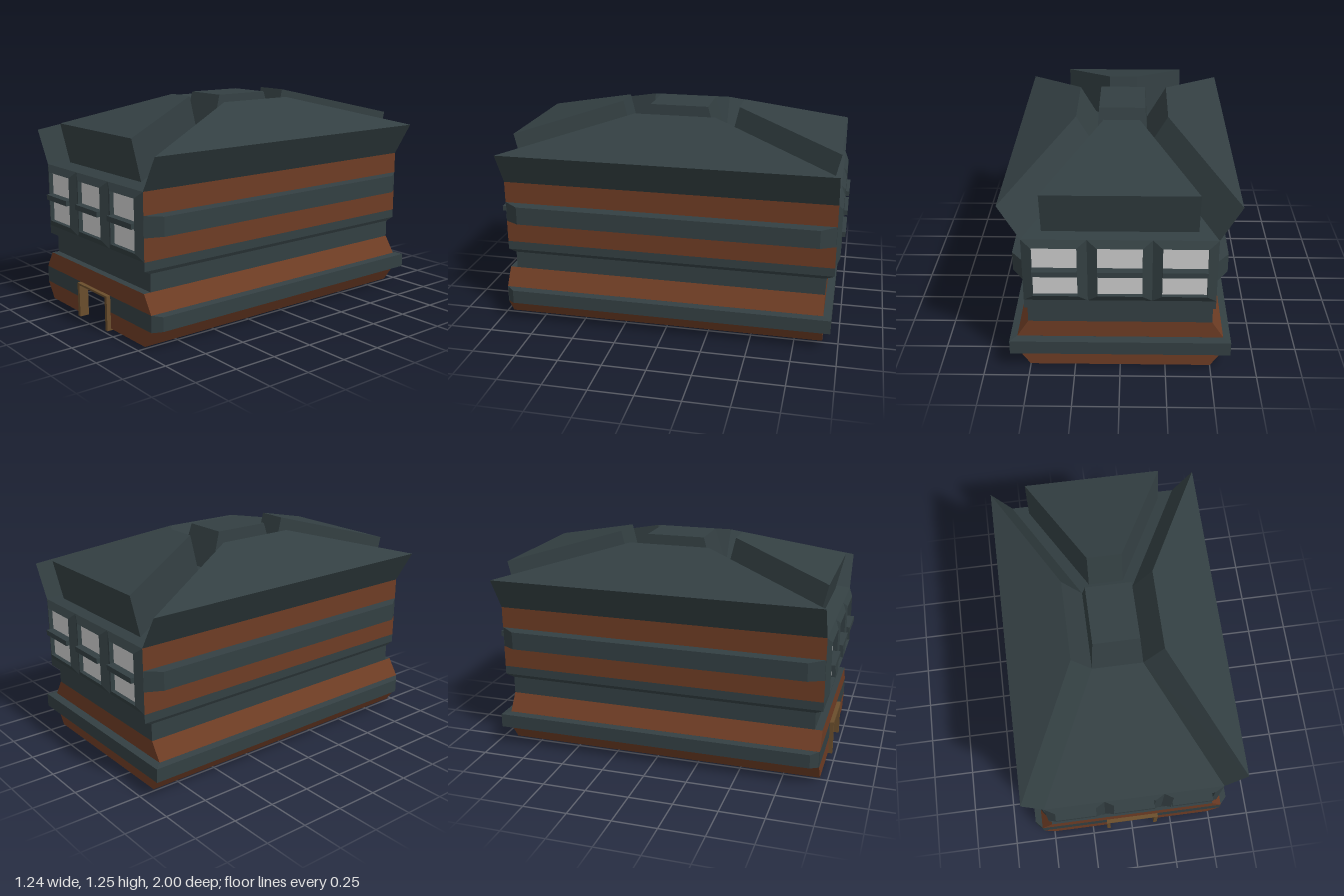
import * as THREE from 'three';

const material = (color) => new THREE.MeshStandardMaterial({ color, flatShading: true, side: THREE.DoubleSide });
const slate = material(0x333f42);
const brick = material(0x6d3c24);
const timber = material(0x6a4e2c);
const glass = material(0xcccccc);

// Mesh from four-cornered faces
function quadMesh(name, mat, quads) {
  const pos = [];
  for (const [a, b, c, d] of quads) pos.push(...a, ...b, ...c, ...a, ...c, ...d);
  const geo = new THREE.BufferGeometry();
  geo.setAttribute('position', new THREE.Float32BufferAttribute(pos, 3));
  geo.computeVertexNormals();
  const mesh = new THREE.Mesh(geo, mat);
  mesh.name = name;
  return mesh;
}

// Closed convex solid between two quads, every face turned outward
function solid(name, mat, a, b) {
  const quads = [a, b];
  for (let i = 0; i < 4; i++) {
    const j = (i + 1) % 4;
    quads.push([a[i], a[j], b[j], b[i]]);
  }
  const mid = (pts) => pts.reduce((s, p) => s.add(new THREE.Vector3(...p)), new THREE.Vector3()).divideScalar(pts.length);
  const centre = mid([...a, ...b]);
  const outward = quads.map((q) => {
    const [p, r, s] = q.map((v) => new THREE.Vector3(...v));
    const n = r.sub(p).cross(s.sub(p));
    return n.dot(mid(q).sub(centre)) < 0 ? [...q].reverse() : q;
  });
  return quadMesh(name, mat, outward);
}

const box = (name, mat, x0, x1, y0, y1, z0, z1) => {
  const mesh = new THREE.Mesh(new THREE.BoxGeometry(x1 - x0, y1 - y0, z1 - z0), mat);
  mesh.position.set((x0 + x1) / 2, (y0 + y1) / 2, (z0 + z1) / 2);
  mesh.name = name;
  return mesh;
};

// Rectangle in the xy plane, counter-clockwise from the front
const rectXY = (x0, x1, y0, y1, z) => [[x0, y0, z], [x1, y0, z], [x1, y1, z], [x0, y1, z]];
// Rectangle in the zy plane
const rectZY = (x, y0, y1, z0, z1) => [[x, y0, z0], [x, y0, z1], [x, y1, z1], [x, y1, z0]];
// Strips joining two matching outlines
const strips = (a, b) => a.map((p, i) => {
  const j = (i + 1) % a.length;
  return [p, a[j], b[j], b[i]];
});

// Window bay: bevelled frame, inset glass and a crossbar
function windowBay(x) {
  const bay = new THREE.Group();
  bay.name = 'window';
  const outer = rectXY(x - 0.17, x + 0.17, 0.47, 0.84, 0.957);
  const inner = rectXY(x - 0.118, x + 0.118, 0.51, 0.8, 0.98);
  const back = rectXY(x - 0.118, x + 0.118, 0.51, 0.8, 0.955);
  bay.add(quadMesh('windowFrame', slate, [...strips(outer, inner), ...strips(inner, back)]));
  bay.add(quadMesh('windowPane', glass, [back]));
  bay.add(box('windowBar', slate, x - 0.118, x + 0.118, 0.64, 0.67, 0.95, 1));
  return bay;
}

export function createModel() {
  const house = new THREE.Group();
  house.name = 'house';

  // Wall rings: height, half width, front z, back z
  const ring = (y, w, f, b) => [[-w, y, f], [w, y, f], [w, y, b], [-w, y, b]];
  const r = [
    ring(0.01, 0.5, 0.957, -0.91), ring(0.105, 0.565, 0.957, -0.91),
    ring(0.2, 0.565, 0.957, -0.91), ring(0.3, 0.5, 0.957, -0.91),
    ring(0.3, 0.5, 0.915, -0.91), ring(0.4, 0.5, 0.915, -0.91),
    ring(0.42, 0.51, 0.957, -0.957), ring(0.47, 0.51, 0.957, -0.957),
  ];
  const bands = [brick, slate, brick, slate, slate, slate, slate];
  bands.forEach((mat, i) => {
    const faces = strips(r[i], r[i + 1]);
    if (i < 2) {
      // Front wall split around the doorway
      const [a, b, c, d] = faces.shift();
      const y0 = a[1], y1 = c[1], z = a[2];
      faces.push([a, [-0.14, y0, z], [-0.14, y1, z], d], [[0.14, y0, z], b, c, [0.14, y1, z]]);
    }
    house.add(quadMesh('wallBand', mat, faces));
  });

  // Upper side walls with brick bands and a raised belt
  for (const s of [1, -1]) {
    for (const [y0, y1, mat] of [[0.47, 0.6, brick], [0.6, 0.715, slate], [0.715, 0.84, brick]]) {
      house.add(quadMesh('upperSideWall', mat, [rectZY(s * 0.51, y0, y1, s * 0.957, -s * 0.957)]));
    }
    house.add(solid('upperBelt', slate,
      rectZY(s * 0.51, 0.598, 0.715, -0.955, 0.955), rectZY(s * 0.57, 0.605, 0.71, -0.87, 0.87)));
    house.add(solid('lowerSideBelt', slate,
      rectZY(s * 0.564, 0.105, 0.2, -0.91, 0.955), rectZY(s * 0.605, 0.113, 0.193, -0.955, 0.91)));
  }
  house.add(solid('lowerBackBelt', slate,
    rectXY(-0.565, 0.565, 0.105, 0.2, -0.909), rectXY(-0.605, 0.605, 0.113, 0.193, -0.955)));

  // Three windows at each end
  for (const turn of [0, Math.PI]) {
    const end = new THREE.Group();
    end.name = turn ? 'backWindows' : 'frontWindows';
    for (const x of [-0.34, 0, 0.34]) end.add(windowBay(x));
    end.rotation.y = turn;
    house.add(end);
  }

  // Door frame
  for (const s of [1, -1]) house.add(box('doorPost', timber, s * 0.15 - 0.011, s * 0.15 + 0.011, 0, 0.2, 0.925, 0.98));
  house.add(box('doorLintel', timber, -0.14, 0.14, 0.188, 0.2, 0.925, 0.98));

  // Hipped roof
  const eaves = ring(0.84, 0.51, 0.957, -0.957);
  const crown = ring(1.03, 0.147, 0.235, -0.235);
  house.add(quadMesh('hipRoof', slate, [...strips(eaves, crown), crown]));
  house.add(solid('roofCap', slate, crown, ring(1.25, 0.132, 0.17, -0.17)));

  // Thick slabs on the side slopes
  for (const s of [1, -1]) {
    const slope = (xLow, yLow, xHigh, yHigh) => [
      [s * xLow, yLow, 0.957], [s * xLow, yLow, -0.957], [s * xHigh, yHigh, -0.235], [s * xHigh, yHigh, 0.235]];
    house.add(solid('sideRoofSlab', slate, slope(0.51, 0.84, 0.147, 1.03), slope(0.622, 1.032, 0.26, 1.222)));
  }

  // Thick slabs on the end slopes
  for (const [s, wide, narrow, z] of [[1, 0.378, 0.085, 0.935], [-1, 0.408, 0.1, 0.955]]) {
    const slope = (yLow, zLow, yHigh, zHigh) => [
      [-wide, yLow, s * zLow], [wide, yLow, s * zLow], [narrow, yHigh, s * zHigh], [-narrow, yHigh, s * zHigh]];
    house.add(solid(s > 0 ? 'frontRoofSlab' : 'backRoofSlab', slate,
      slope(0.858, z - 0.055, 1.014, 0.293), slope(1.093, z, 1.25, 0.35)));
  }
  return house;
}
